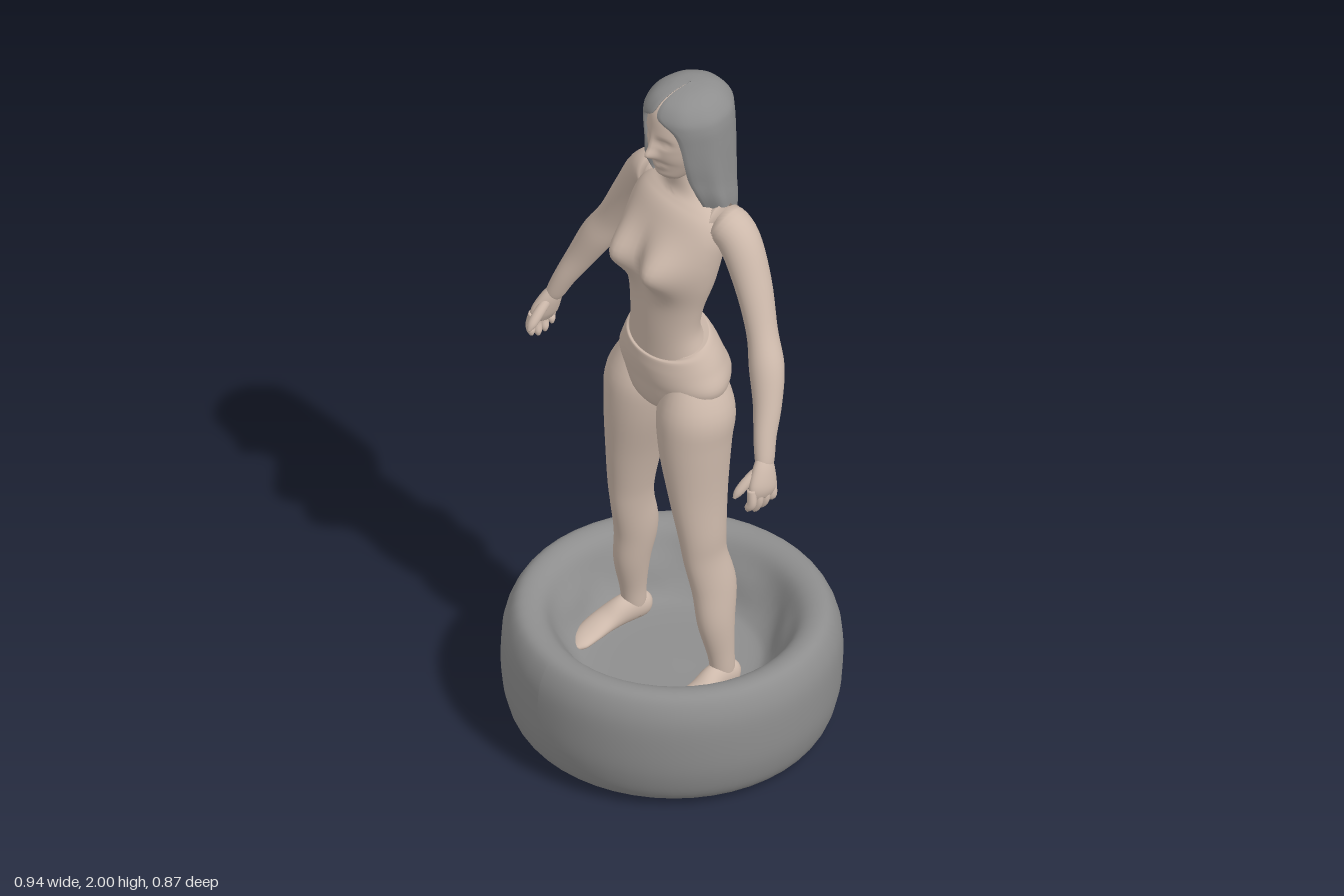
import * as THREE from 'three';

const mat = (color) => new THREE.MeshStandardMaterial({ color, side: THREE.DoubleSide });
const gauss = (x, y, cx, cy, sx, sy) => Math.exp(-(((x - cx) / sx) ** 2) - ((y - cy) / sy) ** 2);

// Catmull-Rom through rows of numbers
function smoothRows(rows, sub) {
  const out = [];
  for (let i = 0; i < rows.length - 1; i++) {
    const p0 = rows[Math.max(i - 1, 0)], p1 = rows[i], p2 = rows[i + 1];
    const p3 = rows[Math.min(i + 2, rows.length - 1)];
    for (let k = 0; k < sub; k++) {
      const t = k / sub;
      out.push(p1.map((b, j) => {
        const a = p0[j], c = p2[j], d = p3[j];
        return 0.5 * (2 * b + (c - a) * t + (2 * a - 5 * b + 4 * c - d) * t * t + (3 * b - a - 3 * c + d) * t ** 3);
      }));
    }
  }
  out.push(rows[rows.length - 1]);
  return out;
}

// Surface over closed rings of points
function skin(rings, deform) {
  const n = rings[0].length, pos = [], idx = [];
  rings.forEach((ring) => ring.forEach((p) => {
    if (deform) deform(p);
    pos.push(p.x, p.y, p.z);
  }));
  for (let i = 0; i < rings.length - 1; i++) {
    for (let j = 0; j < n; j++) {
      const a = i * n + j, b = i * n + ((j + 1) % n);
      idx.push(a, b, a + n, b, b + n, a + n);
    }
  }
  const g = new THREE.BufferGeometry();
  g.setAttribute('position', new THREE.Float32BufferAttribute(pos, 3));
  g.setIndex(idx);
  g.computeVertexNormals();
  return g;
}

// Elliptical loft: rows are [x, y, z, radius along x, radius across]
function loft(rows, { sub = 5, seg = 28, deform } = {}) {
  const s = smoothRows(rows, sub);
  const at = (i) => new THREE.Vector3(...s[i].slice(0, 3));
  const rings = s.map((r, i) => {
    const t = at(Math.min(i + 1, s.length - 1)).sub(at(Math.max(i - 1, 0))).normalize();
    const u = new THREE.Vector3(1, 0, 0).addScaledVector(t, -t.x).normalize();
    const v = t.clone().cross(u);
    return Array.from({ length: seg }, (_, j) => {
      const q = (j / seg) * Math.PI * 2;
      return at(i).addScaledVector(u, r[3] * Math.cos(q)).addScaledVector(v, r[4] * Math.sin(q));
    });
  });
  const cap = (i) => Array.from({ length: seg }, () => at(i));
  return skin([cap(0), ...rings, cap(s.length - 1)], deform);
}

// Hair: crescent rings open at the face, rows are [y, cx, cz, rx, rz, gap, inner scale]
function hairGeometry() {
  const rows = [
    [1.625, -0.005, -0.08, 0.125, 0.075, 0.95, 0.97],
    [1.65, -0.01, -0.08, 0.137, 0.088, 0.9, 0.78],
    [1.69, -0.01, -0.075, 0.139, 0.1, 0.82, 0.73],
    [1.74, -0.006, -0.07, 0.13, 0.108, 0.76, 0.72],
    [1.8, 0, -0.065, 0.121, 0.115, 0.75, 0.72],
    [1.87, 0, -0.062, 0.118, 0.118, 0.7, 0.72],
    [1.915, 0, -0.06, 0.115, 0.118, 0.55, 0.72],
    [1.945, 0, -0.06, 0.106, 0.114, 0.12, 0.72],
    [1.975, 0, -0.06, 0.08, 0.09, 0.04, 0.7],
    [1.993, 0, -0.062, 0.045, 0.05, 0.03, 0.6],
    [1.999, 0, -0.063, 0.004, 0.004, 0.03, 0.5],
  ];
  const half = 44;
  return skin(smoothRows(rows, 5).map(([y, cx, cz, rx, rz, gap, inner]) =>
    Array.from({ length: half * 2 }, (_, j) => {
      const outer = j < half, k = outer ? j : 2 * half - 1 - j, u = k / (half - 1);
      const q = gap + u * (2 * Math.PI - 2 * gap);
      const thick = (1 - inner) * Math.sqrt(1.02 - (2 * u - 1) ** 8);
      const low = THREE.MathUtils.clamp((1.85 - y) / 0.15, 0, 1);
      const r = (outer ? 1 : 1 - thick) * (1 + (0.008 + 0.02 * low) * Math.sin(9 * q + 1));
      return new THREE.Vector3(cx + rx * r * Math.sin(q), y + 0.045 * low * Math.cos(q), cz + rz * r * Math.cos(q));
    })));
}

export function createModel() {
  const model = new THREE.Group();
  const skinMat = mat(0xcdb9ab), greyMat = mat(0x8e8e8e);
  const add = (name, geo, m = skinMat, parent = model) => {
    const mesh = new THREE.Mesh(geo, m);
    mesh.name = name;
    parent.add(mesh);
    return mesh;
  };

  // Round padded tub
  const profile = new THREE.SplineCurve([
    [0, 0.008], [0.22, 0.008], [0.36, 0.012], [0.405, 0.035], [0.43, 0.11], [0.436, 0.2], [0.43, 0.28],
    [0.405, 0.335], [0.37, 0.348], [0.33, 0.33], [0.295, 0.275], [0.25, 0.2], [0.19, 0.175], [0, 0.175],
  ].map((p) => new THREE.Vector2(...p))).getPoints(65).map((p) => new THREE.Vector2(Math.max(p.x, 0), p.y));
  const tubGeo = new THREE.LatheGeometry(profile, 48);
  const tp = tubGeo.attributes.position;
  for (let i = 0; i < tp.count; i++) {
    // Soft folds on the inner wall
    const x = tp.getX(i), y = tp.getY(i), z = tp.getZ(i);
    const f = 1 + 0.035 * Math.sin(7 * Math.atan2(x, z)) * gauss(Math.hypot(x, z), y, 0.28, 0.25, 0.04, 0.06);
    tp.setXYZ(i, x * f, y, z * f);
  }
  tubGeo.computeVertexNormals();
  const tub = add('tub', tubGeo, greyMat);
  tub.rotation.x = -0.02;

  // Torso and neck
  add('torso', loft([
    [0, 1.14, 0, 0.12, 0.08], [0, 1.2, 0.005, 0.128, 0.084], [0, 1.28, 0.017, 0.112, 0.072],
    [0, 1.36, 0.013, 0.121, 0.076], [0, 1.45, 0, 0.145, 0.09], [0, 1.53, -0.012, 0.157, 0.098],
    [0, 1.6, -0.032, 0.158, 0.088], [0, 1.65, -0.05, 0.135, 0.068], [0, 1.69, -0.055, 0.08, 0.05],
    [0, 1.74, -0.05, 0.048, 0.045], [0, 1.8, -0.04, 0.045, 0.045],
  ], {
    sub: 6, seg: 64, deform: (p) => {
      const ax = Math.abs(p.x);
      if (p.z > 0) p.z += 0.064 * gauss(ax, p.y, 0.072, 1.5, 0.055, 0.065);
      else p.z += 0.014 * gauss(p.x, p.y, 0, 1.4, 0.025, 0.2);
    },
  }));

  // Pelvis with a raised upper edge
  add('pelvis', loft([
    [0, 1.02, 0, 0.04, 0.05], [0, 1.055, 0, 0.13, 0.09], [0, 1.12, -0.008, 0.177, 0.105],
    [0, 1.18, -0.007, 0.16, 0.107], [0, 1.225, 0, 0.139, 0.098], [0, 1.242, 0.005, 0.125, 0.086],
  ], {
    sub: 6, seg: 64, deform: (p) => {
      if (p.z < 0) p.z -= 0.026 * gauss(Math.abs(p.x), p.y, 0.08, 1.11, 0.06, 0.06);
    },
  }));

  // Head with modelled face
  add('head', loft([
    [0, 1.732, 0.012, 0.014, 0.016], [0, 1.745, 0.004, 0.035, 0.042], [0, 1.785, -0.015, 0.059, 0.07],
    [0, 1.83, -0.025, 0.073, 0.084], [0, 1.88, -0.032, 0.079, 0.092], [0, 1.93, -0.042, 0.075, 0.09],
    [0, 1.965, -0.05, 0.05, 0.06], [0, 1.978, -0.052, 0.01, 0.01],
  ], {
    sub: 8, seg: 80, deform: (p) => {
      if (p.z < 0) return;
      const ax = Math.abs(p.x), y = p.y;
      p.z += 0.024 * gauss(p.x, y, 0, 1.828, 0.014, 0.016) + 0.012 * gauss(p.x, y, 0, 1.852, 0.01, 0.025)
        - 0.013 * gauss(ax, y, 0.031, 1.868, 0.018, 0.012) + 0.006 * gauss(ax, y, 0.031, 1.867, 0.01, 0.006)
        + 0.009 * gauss(p.x, y, 0, 1.787, 0.024, 0.008) - 0.004 * gauss(p.x, y, 0, 1.787, 0.022, 0.002)
        + 0.006 * gauss(p.x, y, 0, 1.752, 0.02, 0.012);
    },
  }));
  add('hair', hairGeometry(), greyMat);

  for (const s of [1, -1]) {
    const side = s > 0 ? 'left' : 'right';
    const mirror = (rows) => rows.map(([x, ...r]) => [s * x, ...r]);

    // Leg and foot
    add(side + 'Leg', loft(mirror([
      [0.095, 1.15, -0.01, 0.055, 0.075], [0.105, 1.05, 0, 0.094, 0.104], [0.112, 0.95, 0.01, 0.087, 0.1],
      [0.13, 0.8, 0.013, 0.062, 0.084], [0.145, 0.68, 0.012, 0.049, 0.069], [0.15, 0.6, 0.006, 0.042, 0.063],
      [0.16, 0.5, -0.014, 0.044, 0.064], [0.172, 0.4, -0.011, 0.041, 0.053], [0.18, 0.3, -0.02, 0.031, 0.038],
      [0.182, 0.24, -0.025, 0.028, 0.034], [0.182, 0.2, -0.028, 0.024, 0.03],
    ])));
    add(side + 'Foot', loft(mirror([
      [0.182, 0.215, -0.075, 0.012, 0.015], [0.182, 0.218, -0.055, 0.027, 0.035], [0.185, 0.224, 0, 0.031, 0.042],
      [0.193, 0.208, 0.06, 0.037, 0.028], [0.186, 0.197, 0.12, 0.036, 0.018], [0.17, 0.192, 0.16, 0.024, 0.012],
      [0.163, 0.19, 0.177, 0.007, 0.005],
    ])));

    // Arm and hand; the left arm hangs slightly lower
    const drop = s > 0 ? 0.025 : 0;
    const arm = new THREE.Group();
    arm.name = side + 'Arm';
    model.add(arm);
    const limb = (name, rows, opt) => add(name, loft(
      mirror(rows).map(([x, y, ...r]) => [x, y - drop * Math.max(0, (1.6 - y) / 0.6), ...r]), opt), skinMat, arm);
    limb(side + 'ArmLimb', [
      [0.09, 1.62, -0.06, 0.03, 0.03], [0.14, 1.63, -0.066, 0.052, 0.054], [0.19, 1.598, -0.073, 0.053, 0.056],
      [0.25, 1.5, -0.07, 0.046, 0.05], [0.305, 1.395, -0.055, 0.039, 0.042], [0.346, 1.315, -0.038, 0.045, 0.046],
      [0.382, 1.235, -0.012, 0.037, 0.038], [0.41, 1.165, 0.018, 0.028, 0.031], [0.43, 1.11, 0.035, 0.022, 0.027],
      [0.436, 1.09, 0.042, 0.014, 0.02],
    ]);
    limb(side + 'Palm', [
      [0.428, 1.12, 0.033, 0.016, 0.022], [0.438, 1.09, 0.044, 0.022, 0.034], [0.449, 1.05, 0.056, 0.022, 0.043],
      [0.452, 1.025, 0.06, 0.013, 0.034],
    ]);
    for (let f = 0; f < 4; f++) {
      const z = 0.026 + f * 0.022, tip = [1.0, 0.985, 0.982, 0.992][f];
      limb(side + 'Finger' + (f + 1), [
        [0.449, 1.055, z, 0.012, 0.012], [0.455, 1.02, z + 0.004, 0.013, 0.012],
        [0.447, tip + 0.012, z + 0.008, 0.011, 0.011], [0.443, tip, z + 0.009, 0.004, 0.004],
      ], { seg: 14 });
    }
    limb(side + 'Thumb', [
      [0.432, 1.09, 0.06, 0.012, 0.014], [0.428, 1.068, 0.09, 0.014, 0.014],
      [0.424, 1.045, 0.115, 0.012, 0.012], [0.422, 1.03, 0.128, 0.004, 0.004],
    ], { seg: 14 });
  }
  return model;
}
